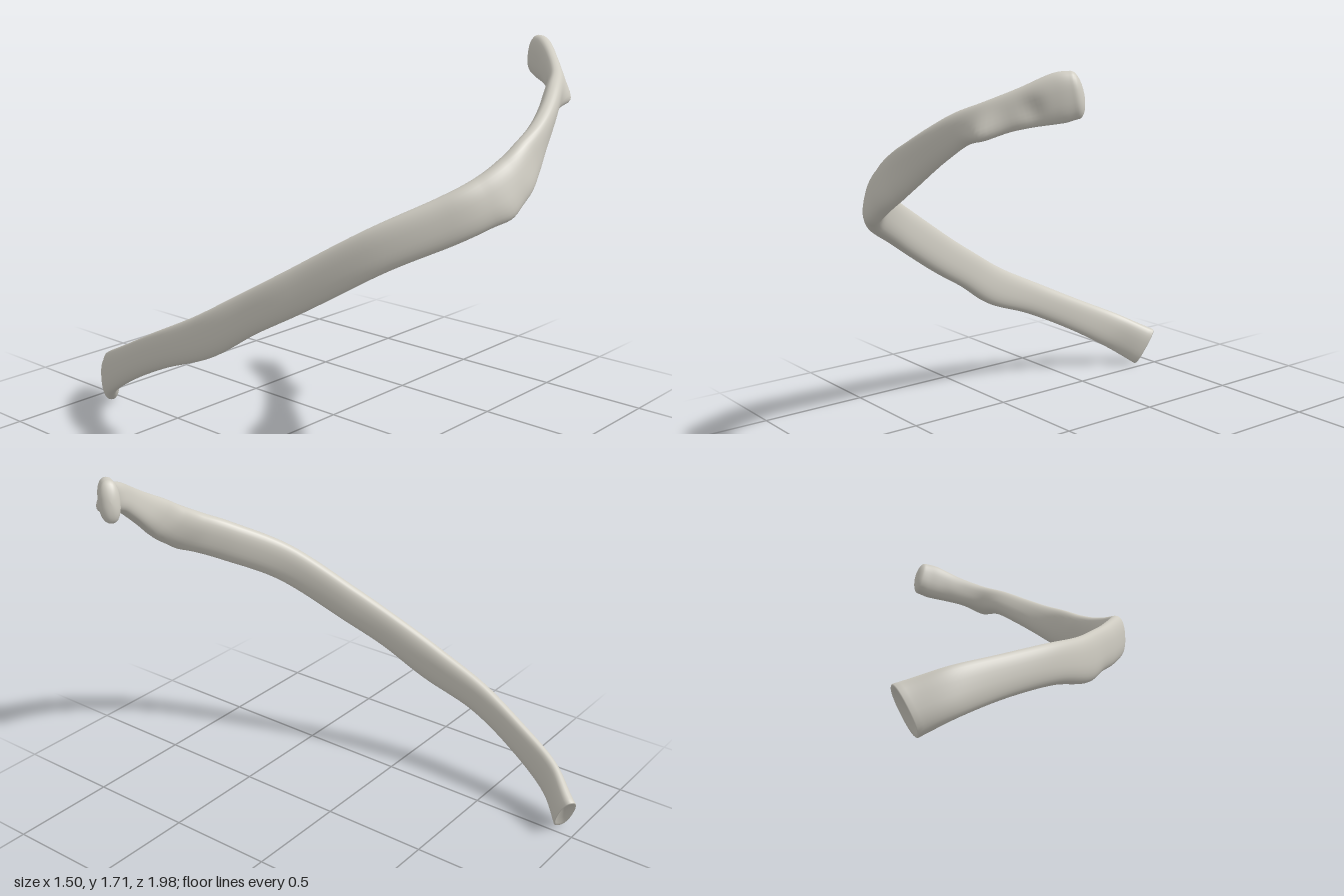
import * as THREE from 'three';

// Stations from the flat front end to the head:
// x, y, z, half height, half thickness, lean of the height axis in z
const STATIONS = [
  [-0.525, 0.11, -0.945, 0.104, 0.042, 0],
  [-0.625, 0.205, -0.8, 0.091, 0.034, 0],
  [-0.68, 0.312, -0.6, 0.08, 0.033, 0],
  [-0.715, 0.435, -0.35, 0.08, 0.038, 0],
  [-0.693, 0.545, -0.1, 0.092, 0.04, 0],
  [-0.64, 0.67, 0.1, 0.087, 0.038, 0],
  [-0.57, 0.79, 0.3, 0.09, 0.04, 0],
  [-0.435, 0.982, 0.6, 0.092, 0.042, 0],
  [-0.25, 1.105, 0.81, 0.098, 0.045, -0.1],
  [-0.12, 1.175, 0.897, 0.1, 0.048, -0.25],
  [0, 1.242, 0.928, 0.098, 0.05, -0.25],
  [0.1, 1.31, 0.924, 0.09, 0.045, -0.1],
  [0.2, 1.378, 0.906, 0.078, 0.042, 0.1],
  [0.3, 1.446, 0.878, 0.07, 0.04, 0.2],
  [0.4, 1.51, 0.838, 0.064, 0.038, 0.2],
  [0.5, 1.553, 0.785, 0.064, 0.034, 0.1],
  [0.6, 1.594, 0.7, 0.075, 0.034, 0],
  [0.675, 1.628, 0.61, 0.092, 0.04, 0],
  [0.71, 1.64, 0.56, 0.088, 0.042, 0],
];
const RINGS = 150, SIDES = 32;

// Local swellings and hollows: centre, radius, push vector
const BUMPS = [
  [[0.52, 1.51, 0.8], 0.055, [0.005, -0.018, 0.045]],   // tubercle
  [[0.46, 1.49, 0.83], 0.05, [0, -0.006, 0.015]],
  [[0.63, 1.59, 0.7], 0.045, [-0.008, 0, -0.014]],      // hollow before the head
  [[-0.06, 1.13, 0.95], 0.06, [0, -0.012, 0.012]],      // angle
];

function pushed(p) {
  const out = p.clone();
  for (const [c, r, d] of BUMPS) {
    const k = Math.exp(-p.distanceToSquared(new THREE.Vector3(...c)) / (r * r));
    out.addScaledVector(new THREE.Vector3(...d), k);
  }
  return out;
}

const curveOf = (from) => new THREE.CatmullRomCurve3(
  STATIONS.map((s) => new THREE.Vector3(...s.slice(from, from + 3))), false, 'catmullrom', 0.5);

function buildShaft() {
  const path = curveOf(0), sizes = curveOf(3);
  const positions = [], index = [];

  // One oval ring at t, shrunk by scale and slid along the path
  const addRing = (t, scale, slide) => {
    const tangent = path.getTangent(t), size = sizes.getPoint(t);
    const up = new THREE.Vector3(0, 1, size.z);
    up.addScaledVector(tangent, -up.dot(tangent)).normalize();
    const side = new THREE.Vector3().crossVectors(tangent, up);
    const centre = path.getPoint(t).addScaledVector(tangent, slide);
    for (let j = 0; j < SIDES; j++) {
      const a = (j / SIDES) * Math.PI * 2, c = Math.cos(a), s = Math.sin(a);
      const p = centre.clone()
        .addScaledVector(up, size.x * scale * Math.sign(c) * Math.abs(c) ** 0.85)
        .addScaledVector(side, size.y * scale * Math.sign(s) * Math.abs(s) ** 0.85);
      positions.push(...pushed(p).toArray());
    }
  };

  // Shallow cupped front end, with a narrow rim
  addRing(0, 0.02, 0.012);
  addRing(0, 0.5, 0.01);
  addRing(0, 0.82, 0);
  addRing(0, 0.95, -0.004);
  for (let i = 0; i <= RINGS; i++) addRing(i / RINGS, 1, 0);
  // Rounded head
  for (let k = 1; k <= 8; k++) {
    const a = (k / 8) * Math.PI / 2;
    addRing(1, Math.max(Math.cos(a), 0.01), 0.035 * Math.sin(a));
  }

  const rows = positions.length / 3 / SIDES;
  for (let i = 0; i < rows - 1; i++) {
    for (let j = 0; j < SIDES; j++) {
      const n = (j + 1) % SIDES;
      const a = i * SIDES + j, b = i * SIDES + n, c = a + SIDES, d = b + SIDES;
      index.push(a, b, c, b, d, c);
    }
  }
  // Close both tips
  for (let j = 1; j < SIDES - 1; j++) {
    const e = (rows - 1) * SIDES;
    index.push(0, j + 1, j, e, e + j, e + j + 1);
  }

  const geometry = new THREE.BufferGeometry();
  geometry.setAttribute('position', new THREE.Float32BufferAttribute(positions, 3));
  geometry.setIndex(index);
  geometry.computeVertexNormals();
  return geometry;
}

export function createModel() {
  const group = new THREE.Group();
  group.name = 'rib';
  const bone = new THREE.MeshStandardMaterial({ color: 0xd0cdc3 });
  bone.name = 'bone';
  const shaft = new THREE.Mesh(buildShaft(), bone);
  shaft.name = 'ribBone';
  group.add(shaft);
  return group;
}
